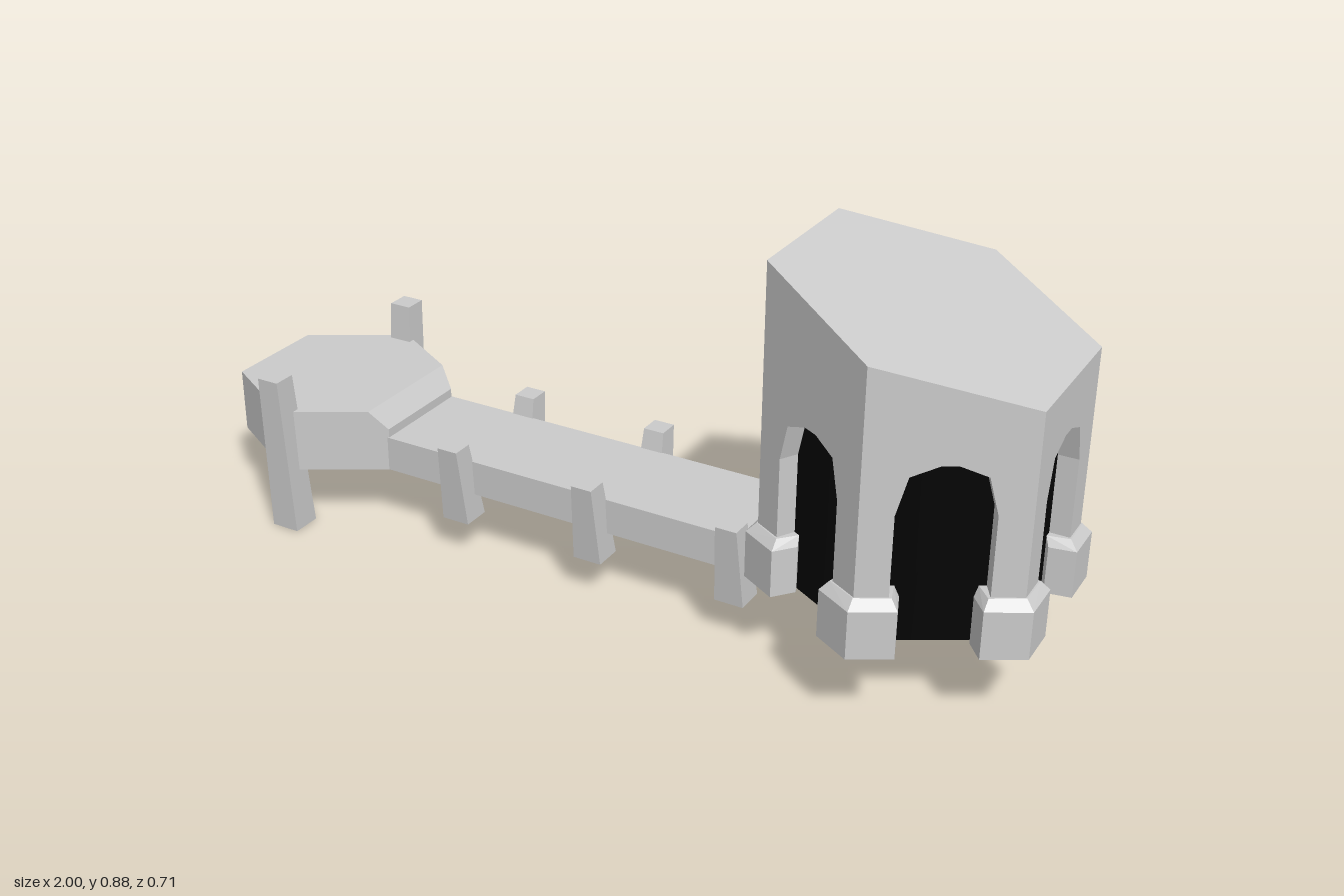
import * as THREE from 'three';
import { ConvexGeometry } from 'three/addons/geometries/ConvexGeometry.js';

const grey = new THREE.MeshStandardMaterial({ color: 0xcccccc, flatShading: true });
const black = new THREE.MeshStandardMaterial({ color: 0x050505 });

const R = 0.33;                          // tower corner radius
const APOTHEM = R * Math.cos(Math.PI / 6);
const FLOOR = 0.18;
const roofY = (x) => 0.794 - 0.318 * x;  // sloping roof plane, x from tower centre

function add(parent, name, geometry, material = grey) {
  const mesh = new THREE.Mesh(geometry, material);
  mesh.name = name;
  parent.add(mesh);
  return mesh;
}

// Moves every vertex by a rule
function bend(geometry, rule) {
  const p = geometry.attributes.position;
  const v = new THREE.Vector3();
  for (let i = 0; i < p.count; i++) {
    rule(v.fromBufferAttribute(p, i));
    p.setXYZ(i, v.x, v.y, v.z);
  }
  geometry.computeVertexNormals();
  return geometry;
}

const hull = (points) => new ConvexGeometry(points.map((p) => new THREE.Vector3(...p)));

// Wall panel with an arched doorway cut from its lower edge
function wallGeometry(angle) {
  const half = R / 2, depth = 0.045;
  const arch = [[0.097, FLOOR], [0.097, 0.485], [0.075, 0.567], [0.018, 0.59]];
  const outline = [
    [half, 0.8], [-half, 0.8], [-half, FLOOR],
    ...arch.map(([x, y]) => [-x, y]),
    ...arch.slice().reverse(),
    [half, FLOOR],
  ];
  const shape = new THREE.Shape(outline.map(([x, y]) => new THREE.Vector2(x, y)));
  const g = new THREE.ExtrudeGeometry(shape, { depth, bevelEnabled: false });
  g.translate(0, 0, APOTHEM - depth);
  g.rotateY(angle);
  return bend(g, (v) => { if (v.y > 0.7) v.y = roofY(v.x) - 0.0005; });
}

// Chamfered plinth wrapped round a tower corner
function plinthGeometry() {
  const low = [[0, 0.355], [0.083, 0.307], [0.063, 0.253], [0, 0.24]];
  const top = [[0, 0.333], [0.065, 0.297], [0.05, 0.25], [0, 0.24]];
  const points = [];
  for (const s of [1, -1]) {
    for (const [x, z] of low) points.push([s * x, FLOOR, z], [s * x, 0.287, z]);
    for (const [x, z] of top) points.push([s * x, 0.307, z]);
  }
  return hull(points);
}

// Tapered post that leans outward toward its top
function postGeometry(y0, y1, z0, z1, w0, w1) {
  return bend(new THREE.BoxGeometry(1, 1, 1), (v) => {
    const t = v.y + 0.5;
    const w = THREE.MathUtils.lerp(w0, w1, t);
    v.set(v.x * w, THREE.MathUtils.lerp(y0, y1, t), THREE.MathUtils.lerp(z0, z1, t) + v.z * w);
  });
}

function addPosts(parent, name, x, geometry) {
  for (const side of [0, 1]) {
    const post = add(parent, name, geometry);
    post.position.x = x;
    post.rotation.y = side * Math.PI;
  }
}

function createTower() {
  const tower = new THREE.Group();
  tower.name = 'tower';
  tower.position.x = 0.69;

  const plinth = plinthGeometry();
  for (let i = 0; i < 6; i++) {
    add(tower, 'archedWall', wallGeometry(Math.PI / 2 + i * Math.PI / 3));
    add(tower, 'cornerPlinth', plinth).rotation.y = i * Math.PI / 3;
  }

  const roof = new THREE.CircleGeometry(R, 6);
  roof.rotateX(-Math.PI / 2).rotateY(Math.PI / 2);
  add(tower, 'slopingRoof', bend(roof, (v) => { v.y = roofY(v.x); }));

  // Dark interior seen through the arches
  const inner = (APOTHEM - 0.044) / Math.cos(Math.PI / 6);
  const core = new THREE.CylinderGeometry(inner, inner, 0.43, 6);
  core.translate(0, FLOOR + 0.217, 0);
  add(tower, 'darkInterior', core, black);

  // Sill across the doorway that meets the walkway
  const sill = [];
  for (const z of [-0.12, 0.12]) {
    sill.push([-0.306, FLOOR, z], [-0.306, 0.285, z], [-0.286, 0.305, z], [-0.25, 0.305, z], [-0.25, FLOOR, z]);
  }
  add(tower, 'doorSill', hull(sill));
  return tower;
}

function createPlatform() {
  const platform = new THREE.Group();
  platform.name = 'platform';
  platform.position.x = -0.783;

  // Hexagonal slab with its walkway edge bevelled
  const points = [];
  for (const s of [1, -1]) {
    for (const [x, z] of [[-0.217, 0.125], [0, 0.25]]) points.push([x, 0.15, s * z], [x, 0.3, s * z]);
    points.push([0.217, 0.15, s * 0.125], [0.217, 0.255, s * 0.125], [0.178, 0.3, s * 0.1475]);
  }
  add(platform, 'hexagonSlab', hull(points));
  addPosts(platform, 'platformPost', 0, postGeometry(0, 0.39, 0.227, 0.252, 0.07, 0.054));
  return platform;
}

function createWalkway() {
  const walkway = new THREE.Group();
  walkway.name = 'walkway';
  const deck = new THREE.BoxGeometry(1.0, 0.083, 0.254);
  deck.translate(-0.096, 0.1925, 0);
  add(walkway, 'deck', deck);

  const post = postGeometry(0.09, 0.28, 0.128, 0.159, 0.068, 0.05);
  for (const x of [-0.36, -0.01, 0.34]) addPosts(walkway, 'walkwayPost', x, post);
  return walkway;
}

export function createModel() {
  const model = new THREE.Group();
  model.name = 'towerWithWalkway';
  model.add(createTower(), createWalkway(), createPlatform());
  return model;
}
